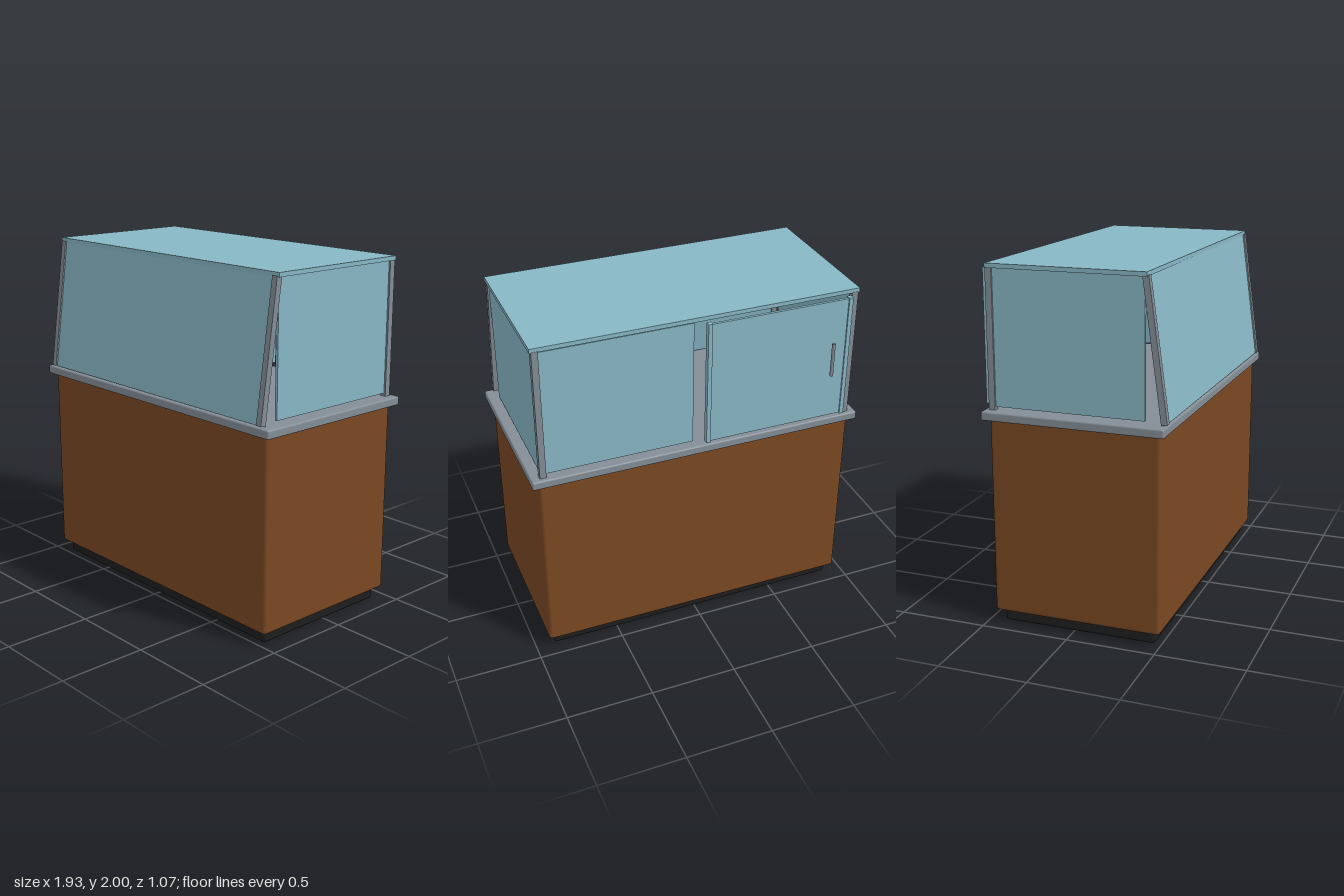
import * as THREE from 'three';
import { RoundedBoxGeometry } from 'three/addons/geometries/RoundedBoxGeometry.js';

const material = (name, color) => {
  const m = new THREE.MeshStandardMaterial({ color });
  m.name = name;
  return m;
};

export function createModel() {
  const group = new THREE.Group();
  group.name = 'displayCase';
  const wood = material('brown wood', 0x7a4822);
  const black = material('black plinth', 0x1e1e1e);
  const metal = material('grey metal', 0x848e96);
  const glass = material('pale blue glass', 0x88b7c5);

  const add = (name, geometry, mat) => {
    const mesh = new THREE.Mesh(geometry, mat);
    mesh.name = name;
    group.add(mesh);
    return mesh;
  };
  // Box given by its limits on each axis, optionally with rounded edges
  const block = (name, mat, [x0, x1], [y0, y1], [z0, z1], radius = 0) => {
    const size = [x1 - x0, y1 - y0, z1 - z0];
    const geometry = radius
      ? new RoundedBoxGeometry(...size, 3, radius)
      : new THREE.BoxGeometry(...size);
    const mesh = add(name, geometry, mat);
    mesh.position.set((x0 + x1) / 2, (y0 + y1) / 2, (z0 + z1) / 2);
    return mesh;
  };

  // Cabinet
  block('plinth', black, [-0.89, 0.89], [0, 0.1], [-0.415, 0.465], 0.02);
  block('cabinet', wood, [-0.927, 0.927], [0.07, 1.18], [-0.455, 0.503], 0.02);
  block('counter', metal, [-0.967, 0.967], [1.17, 1.22], [-0.487, 0.533], 0.01);

  // Leaning front: posts and pane share one slope
  const bottom = new THREE.Vector2(0.519, 1.228);
  const top = new THREE.Vector2(0.417, 1.98);
  const lean = Math.atan2(top.x - bottom.x, top.y - bottom.y);
  const slope = bottom.distanceTo(top);
  const leaning = (name, mat, x, width, depth) => {
    const mesh = add(name, new THREE.BoxGeometry(width, slope, depth), mat);
    mesh.position.set(x, (bottom.y + top.y) / 2, (bottom.x + top.x) / 2);
    mesh.rotation.x = lean;
  };
  leaning('frontGlass', glass, 0, 1.77, 0.016);

  // Posts and side panes on both sides
  for (const [side, s] of [['left', 1], ['right', -1]]) {
    const x = s * 0.9;
    leaning(side + 'FrontPost', metal, x, 0.036, 0.034);
    block(side + 'RearPost', metal, [x - 0.018, x + 0.018], [1.22, 1.98], [-0.46, -0.424]);
    block(side + 'Glass', glass, [x - 0.008, x + 0.008], [1.237, 1.976], [-0.43, 0.412]);
  }
  block('topGlass', glass, [-0.927, 0.927], [1.976, 2], [-0.458, 0.428]);

  // Rear: fixed pane and sliding door in front of it
  block('rearGlass', glass, [0.04, 0.885], [1.24, 1.97], [-0.451, -0.435]);
  block('slidingDoor', glass, [-0.86, -0.03], [1.245, 1.965], [-0.49, -0.474]);
  for (const x of [-0.857, -0.033]) {
    block('doorStile', glass, [x - 0.012, x + 0.012], [1.24, 1.97], [-0.498, -0.466]);
  }
  const handle = add('doorHandle', new THREE.CylinderGeometry(0.01, 0.01, 0.2, 16), metal);
  handle.position.set(-0.755, 1.625, -0.525);

  return group;
}
